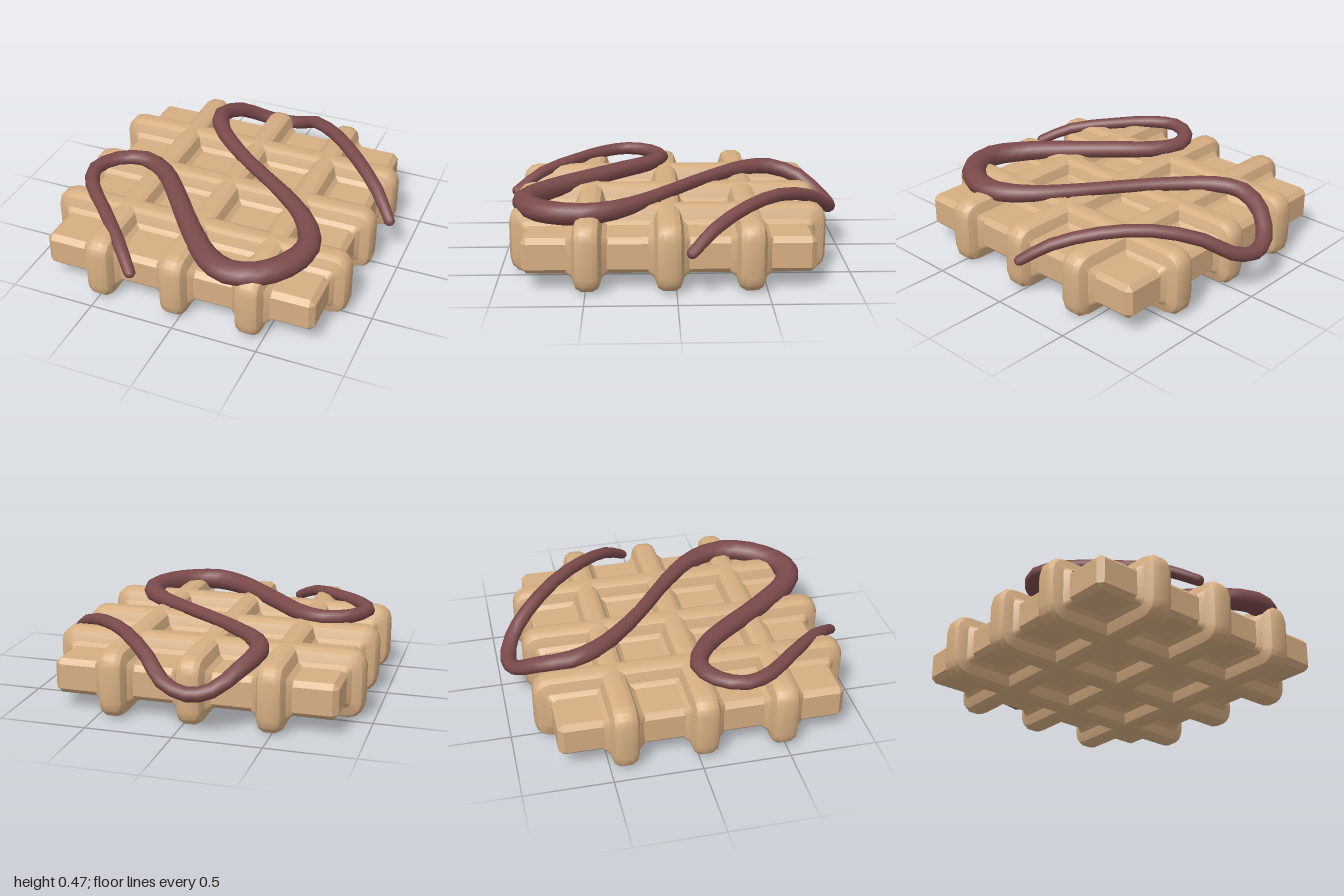
import * as THREE from 'three';
import { toCreasedNormals } from 'three/addons/utils/BufferGeometryUtils.js';
import { ConvexGeometry } from 'three/addons/geometries/ConvexGeometry.js';

// Skin a list of closed rings (arrays of Vector3, counter-clockwise about the loft direction)
function loft(rings) {
  const n = rings[0].length;
  const index = [];
  for (let i = 0; i < rings.length - 1; i++) {
    for (let j = 0; j < n; j++) {
      const k = (j + 1) % n;
      const a = i * n + j, b = i * n + k, c = a + n, d = b + n;
      index.push(a, b, c, b, d, c);
    }
  }
  const geo = new THREE.BufferGeometry().setFromPoints(rings.flat());
  geo.setIndex(index);
  geo.computeVertexNormals();
  return geo;
}

// Rounded rectangle in the xy plane at depth z
function roundedRing(halfX, halfY, r, z) {
  const points = [];
  const steps = 3;
  [[1, 1], [-1, 1], [-1, -1], [1, -1]].forEach(([sx, sy], q) => {
    for (let i = 0; i <= steps; i++) {
      const a = (q + i / steps) * Math.PI / 2;
      points.push(new THREE.Vector3(
        sx * (halfX - r) + r * Math.cos(a), sy * (halfY - r) + r * Math.sin(a), z));
    }
  });
  return points;
}

// Ridge that wraps the slab: [half thickness, half length, half height, corner radius]
function ridgeGeometry() {
  const levels = [
    [0.115, 0.805, 0.097, 0.02],
    [0.082, 0.832, 0.122, 0.035],
    [0.073, 0.862, 0.15, 0.06],
    [0.062, 0.885, 0.178, 0.08],
    [0.032, 0.9, 0.195, 0.09],
  ];
  const rings = levels.map(([u, x, y, r]) => roundedRing(x, y, r, -u));
  levels.slice().reverse().forEach(([u, x, y, r]) => rings.push(roundedRing(x, y, r, u)));
  return toCreasedNormals(loft(rings), 0.55);
}

// Box with chamfered edges
function chamferBox(x, y, z, c) {
  const points = [];
  for (const sx of [-1, 1]) for (const sy of [-1, 1]) for (const sz of [-1, 1]) {
    points.push(
      new THREE.Vector3(sx * x, sy * (y - c), sz * (z - c)),
      new THREE.Vector3(sx * (x - c), sy * y, sz * (z - c)),
      new THREE.Vector3(sx * (x - c), sy * (y - c), sz * z));
  }
  return new ConvexGeometry(points);
}

// Sauce path: x, y, z, radius
const SAUCE = [
  [0.91, 0.26, -0.08, 0.034], [0.79, 0.36, -0.21, 0.04], [0.6, 0.425, -0.4, 0.042],
  [0.4, 0.435, -0.6, 0.042], [0.2, 0.37, -0.8, 0.044], [0.08, 0.28, -0.91, 0.046],
  [-0.07, 0.235, -0.95, 0.047], [-0.2, 0.26, -0.92, 0.048], [-0.32, 0.35, -0.8, 0.052],
  [-0.38, 0.4, -0.62, 0.056], [-0.32, 0.41, -0.46, 0.053], [-0.2, 0.41, -0.32, 0.048],
  [0, 0.41, -0.14, 0.043], [0.2, 0.41, 0.01, 0.044], [0.4, 0.405, 0.17, 0.05],
  [0.55, 0.395, 0.34, 0.062], [0.61, 0.39, 0.52, 0.07], [0.55, 0.385, 0.7, 0.073],
  [0.43, 0.38, 0.82, 0.074], [0.28, 0.38, 0.86, 0.074], [0.13, 0.38, 0.79, 0.07],
  [0, 0.39, 0.66, 0.065], [-0.15, 0.4, 0.48, 0.06], [-0.3, 0.41, 0.29, 0.058],
  [-0.43, 0.41, 0.15, 0.056], [-0.6, 0.41, 0.065, 0.052], [-0.75, 0.415, 0.13, 0.047],
  [-0.825, 0.415, 0.28, 0.045], [-0.76, 0.41, 0.44, 0.043], [-0.6, 0.4, 0.61, 0.04],
  [-0.4, 0.365, 0.82, 0.039], [-0.26, 0.285, 0.965, 0.034],
];

// Tapering tube with rounded ends
function sauceGeometry() {
  const curve = new THREE.CatmullRomCurve3(SAUCE.map(([x, y, z]) => new THREE.Vector3(x, y, z)));
  const sides = 10;
  const spans = SAUCE.length - 1;
  const up = new THREE.Vector3(0, 1, 0);
  const rings = [];
  const addRing = (t, scale, push) => {
    const k = Math.min(Math.floor(t * spans), spans - 1);
    const r = scale * THREE.MathUtils.lerp(SAUCE[k][3], SAUCE[k + 1][3], t * spans - k);
    const tangent = curve.getTangent(t);
    const centre = curve.getPoint(t).addScaledVector(tangent, push);
    const side = tangent.clone().cross(up).normalize();
    const normal = tangent.clone().cross(side);
    rings.push(Array.from({ length: sides }, (_, j) => {
      const a = j / sides * Math.PI * 2;
      return centre.clone().addScaledVector(side, r * Math.cos(a))
        .addScaledVector(normal, 0.88 * r * Math.sin(a));
    }));
  };
  const cap = [[0.01, 0.03], [0.55, 0.025], [0.87, 0.014]];
  cap.forEach(([s, p]) => addRing(0, s, -p));
  for (let i = 0; i <= spans * 2; i++) addRing(i / (spans * 2), 1, 0);
  cap.reverse().forEach(([s, p]) => addRing(1, s, p));
  return loft(rings);
}

export function createModel() {
  const model = new THREE.Group();
  model.name = 'waffle';
  const batter = new THREE.MeshStandardMaterial({ color: 0xd6ae82 });
  batter.name = 'golden batter';
  const chocolate = new THREE.MeshStandardMaterial({ color: 0x7c4a4b });
  chocolate.name = 'chocolate sauce';

  // Baked base: slab with a lattice of ridges on both faces
  const base = new THREE.Group();
  base.name = 'waffleBase';
  base.position.set(-0.04, 0.195, 0.04);
  const slab = new THREE.Mesh(chamferBox(0.81, 0.102, 0.81, 0.03), batter);
  slab.name = 'slab';
  base.add(slab);

  const ridge = ridgeGeometry();
  for (const offset of [-0.45, 0, 0.45]) {
    const across = new THREE.Mesh(ridge, batter);
    across.name = 'crossRidge';
    across.position.z = offset;
    const along = new THREE.Mesh(ridge, batter);
    along.name = 'lengthRidge';
    along.rotation.y = Math.PI / 2;
    along.position.x = offset;
    base.add(across, along);
  }
  model.add(base);

  // Winding sauce on top
  const sauce = new THREE.Mesh(sauceGeometry(), chocolate);
  sauce.name = 'sauceDrizzle';
  model.add(sauce);
  return model;
}
